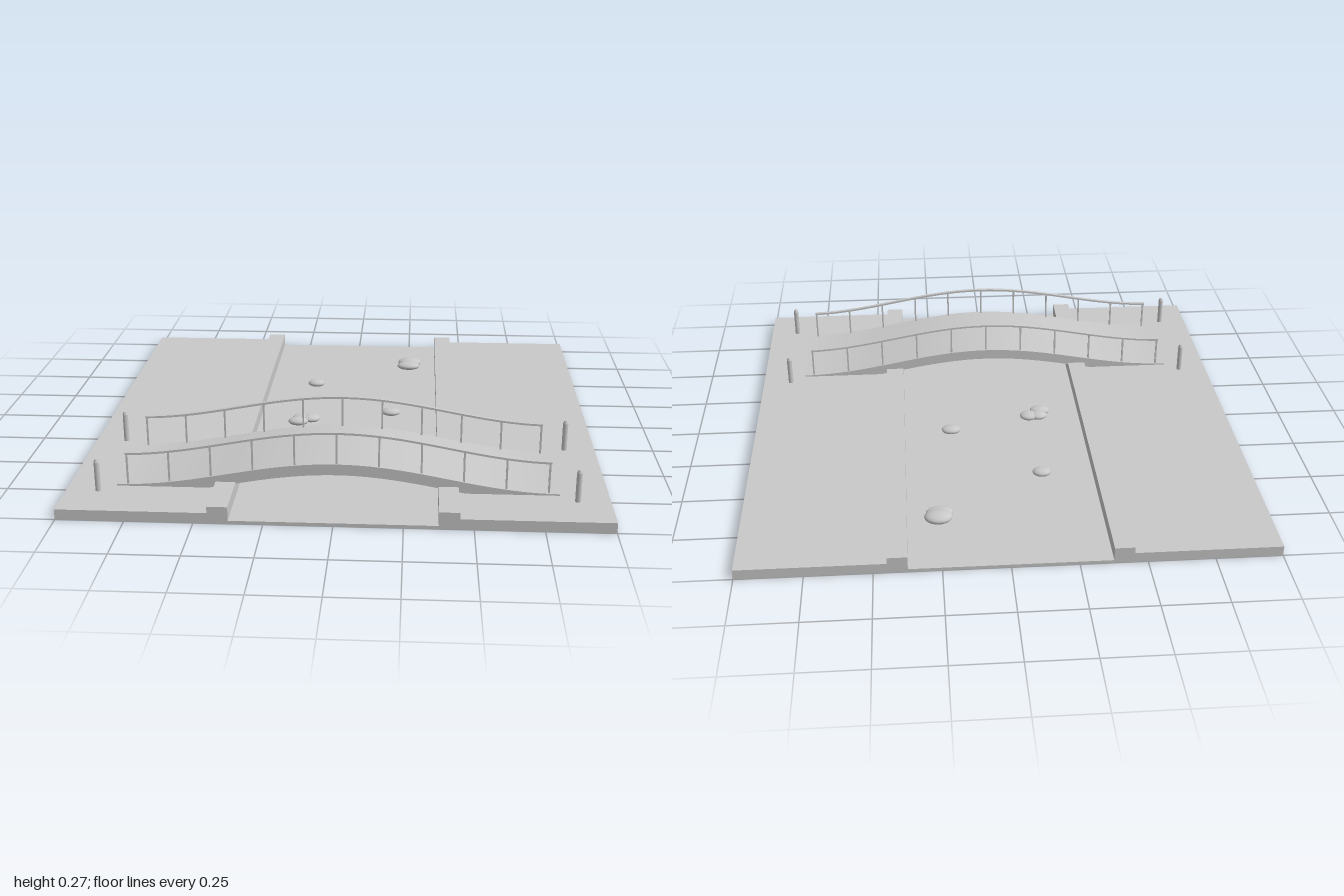
import * as THREE from 'three';

export function createModel() {
  const model = new THREE.Group();
  const stone = new THREE.MeshStandardMaterial({ color: 0xc8c8c8, side: THREE.DoubleSide });
  stone.name = 'plainGrey';

  const add = (name, geometry, x = 0, y = 0, z = 0, parent = model) => {
    const mesh = new THREE.Mesh(geometry, stone);
    mesh.name = name;
    mesh.position.set(x, y, z);
    parent.add(mesh);
    return mesh;
  };

  // Hollow block on y = 0, leaving out some faces (0 +x, 1 -x, 2 +y, 3 -y, 4 +z, 5 -z)
  const shell = (name, x0, x1, height, dropped) => {
    const g = new THREE.BoxGeometry(x1 - x0, height, 2);
    const index = Array.from(g.index.array);
    g.setIndex(index.filter((_, i) => !dropped.includes(Math.floor(i / 6))));
    g.clearGroups();
    add(name, g, (x0 + x1) / 2, height / 2, 0);
  };

  // Banks, kerbs and the stream bed between them, open underneath
  shell('leftBank', 0.45, 1, 0.04, [1, 3]);
  shell('rightBank', -1, -0.45, 0.04, [0, 3]);
  shell('leftKerb', 0.375, 0.45, 0.065, [3]);
  shell('rightKerb', -0.45, -0.375, 0.065, [3]);
  shell('water', -0.375, 0.375, 0.012, [0, 1, 3]);

  // Arched bridge deck
  const half = 0.82, midZ = 0.59, steps = 40;
  const deckY = x => 0.046 + 0.0495 * (1 + Math.cos(Math.PI * x / half));
  const arch = (x0, lower, upper) => {
    const top = [], bottom = [];
    for (let i = 0; i <= steps; i++) {
      const x = -x0 + 2 * x0 * i / steps;
      top.push(new THREE.Vector2(x, deckY(x) + upper));
      bottom.unshift(new THREE.Vector2(x, deckY(x) + lower));
    }
    return new THREE.Shape([...top, ...bottom]);
  };
  const extrude = (shape, depth) => {
    const g = new THREE.ExtrudeGeometry(shape, { depth, bevelEnabled: false });
    return g.translate(0, 0, -depth / 2);
  };
  add('bridgeDeck', extrude(arch(half, -0.043, 0), 0.39), 0, 0, midZ);

  // Railings that follow the arch
  for (const side of [-1, 1]) {
    const railing = new THREE.Group();
    railing.name = side > 0 ? 'frontRailing' : 'backRailing';
    railing.position.z = midZ + side * 0.185;
    model.add(railing);
    add('handrail', extrude(arch(0.785, 0.116, 0.124), 0.014), 0, 0, 0, railing);
    for (let i = -5; i <= 5; i++) {
      const x = i * 0.156;
      add('railPost', new THREE.BoxGeometry(0.007, 0.125, 0.007), x, deckY(x) + 0.0575, 0, railing);
    }
  }

  // Bollards at the bridge approaches
  const bollard = new THREE.LatheGeometry([
    [0.0105, 0], [0.0105, 0.113], [0.0105, 0.113], [0.006, 0.125], [0.006, 0.125], [0, 0.125],
  ].map(p => new THREE.Vector2(...p)), 12);
  for (const x of [-0.88, 0.88]) {
    for (const z of [0.35, 0.83]) add('bollard', bollard, x, 0.04, z);
  }

  // Smooth stones in the stream: x, y, z, half width, half height, half depth
  const ball = new THREE.SphereGeometry(1, 24, 16);
  [
    [0.255, 0.03, -0.71, 0.054, 0.022, 0.042],
    [0.25, 0.025, -0.675, 0.052, 0.018, 0.034],
    [-0.17, 0.022, -0.42, 0.037, 0.016, 0.029],
    [0.18, 0.022, -0.073, 0.04, 0.016, 0.03],
    [-0.2, 0.022, 0.018, 0.037, 0.016, 0.03],
    [-0.16, 0.022, 0.018, 0.039, 0.016, 0.033],
    [-0.21, 0.023, 0.058, 0.042, 0.017, 0.031],
  ].forEach(([x, y, z, sx, sy, sz]) => add('streamStone', ball, x, y, z).scale.set(sx, sy, sz));

  return model;
}
